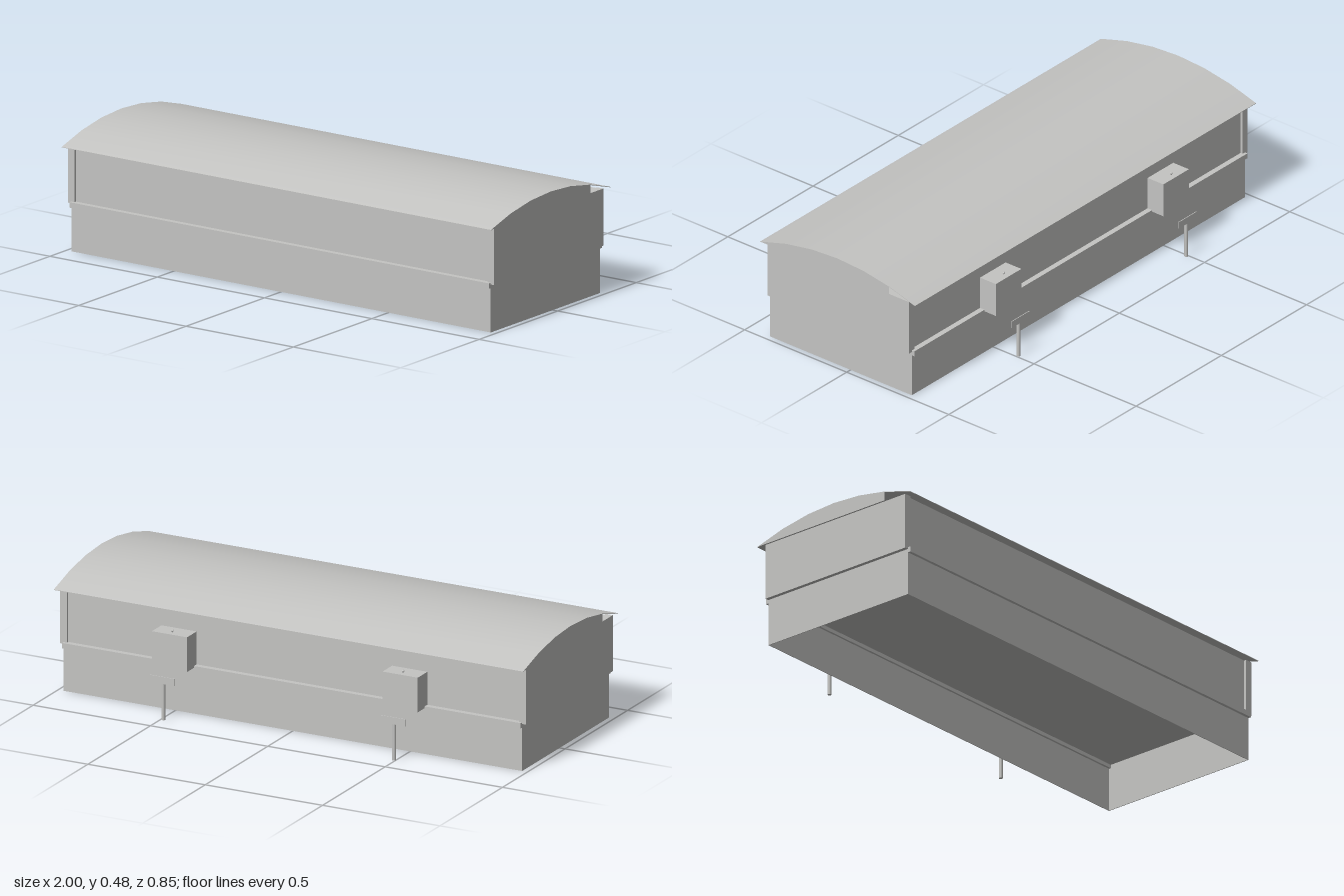
import * as THREE from 'three';
import { toCreasedNormals } from 'three/addons/utils/BufferGeometryUtils.js';

export function createModel() {
  const model = new THREE.Group();
  model.name = 'vaultedHall';
  const grey = new THREE.MeshStandardMaterial({ color: 0xc4c4c2 });

  const add = (name, geometry, parent = model) => {
    const mesh = new THREE.Mesh(geometry, grey);
    mesh.name = name;
    parent.add(mesh);
    return mesh;
  };
  // Box given by its limits on each axis
  const box = (name, x0, x1, y0, y1, z0, z1, parent = model) =>
    add(name, new THREE.BoxGeometry(x1 - x0, y1 - y0, z1 - z0), parent)
      .position.set((x0 + x1) / 2, (y0 + y1) / 2, (z0 + z1) / 2);

  const front = 0.395, back = -0.3, baseX = 0.977, bodyX = 0.993;
  const floorY = 0.187, eaveY = 0.41, wall = 0.003;

  // Hollow base, open underneath
  box('baseFrontWall', -baseX, baseX, 0, floorY, front - wall, front);
  box('baseBackWall', -baseX, baseX, 0, floorY, back, back + wall);
  for (const s of [-1, 1]) {
    const a = s * baseX, b = s * (baseX - wall);
    box('baseEndWall', Math.min(a, b), Math.max(a, b), 0, floorY, back, front);
  }

  // Upper storey: recessed long panels between full-depth ends
  box('upperBody', -0.964, 0.964, floorY, eaveY, back + 0.01, front - 0.01);
  box('rightEnd', -bodyX, -0.963, floorY, eaveY, back, front);
  box('leftEnd', 0.963, bodyX, floorY, eaveY, back, front);

  // Rails along both long sides
  box('frontRail', -baseX, baseX, 0.173, 0.194, front - 0.012, front + 0.012);
  box('backRail', -baseX, baseX, 0.173, 0.194, back - 0.012, back + 0.012);

  // Barrel roof, profile as [across, height]
  const roof = new THREE.Group();
  roof.name = 'roof';
  roof.position.set(0, eaveY, 0.045);
  model.add(roof);
  const half = 0.38, rise = 0.066;
  const profile = [];
  for (let i = -3; i <= 3; i++) {
    const t = i / 3;
    profile.push(new THREE.Vector2(t * half, rise * (1 - t * t)));
  }
  const under = profile.map(p => new THREE.Vector2(p.x, p.y - 0.002)).reverse();
  const shell = new THREE.ExtrudeGeometry(new THREE.Shape([...profile, ...under]),
    { depth: 2, bevelEnabled: false });
  shell.translate(0, 0, -1).rotateY(Math.PI / 2);
  add('roofShell', toCreasedNormals(shell, 0.5), roof);

  // Gables, each stopping one segment short of the eave
  const gableShape = new THREE.Shape([
    ...profile.slice(0, 6), new THREE.Vector2(profile[5].x, 0),
  ]);
  for (const turn of [Math.PI / 2, -Math.PI / 2]) {
    const gable = new THREE.ShapeGeometry(gableShape);
    gable.translate(0, 0, 1).rotateY(turn);
    add('gable', gable, roof);
  }

  // Back fittings: wall box with a knob, and a freestanding post with a plate
  for (const x of [-0.493, 0.49]) {
    const unit = new THREE.Group();
    unit.name = 'backFitting';
    unit.position.x = x;
    model.add(unit);
    box('wallBox', -0.075, 0.075, floorY, 0.325, -0.367, -0.289, unit);
    add('knobStem', new THREE.CylinderGeometry(0.002, 0.002, 0.008, 8), unit)
      .position.set(0, 0.328, -0.343);
    add('knob', new THREE.SphereGeometry(0.005, 10, 6), unit)
      .position.set(0, 0.332, -0.343);
    add('post', new THREE.CylinderGeometry(0.0075, 0.0075, 0.145, 12), unit)
      .position.set(0, 0.0725, -0.416);
    box('postPlate', -0.052, 0.052, 0.145, 0.173, -0.425, -0.422, unit);
  }

  return model;
}
